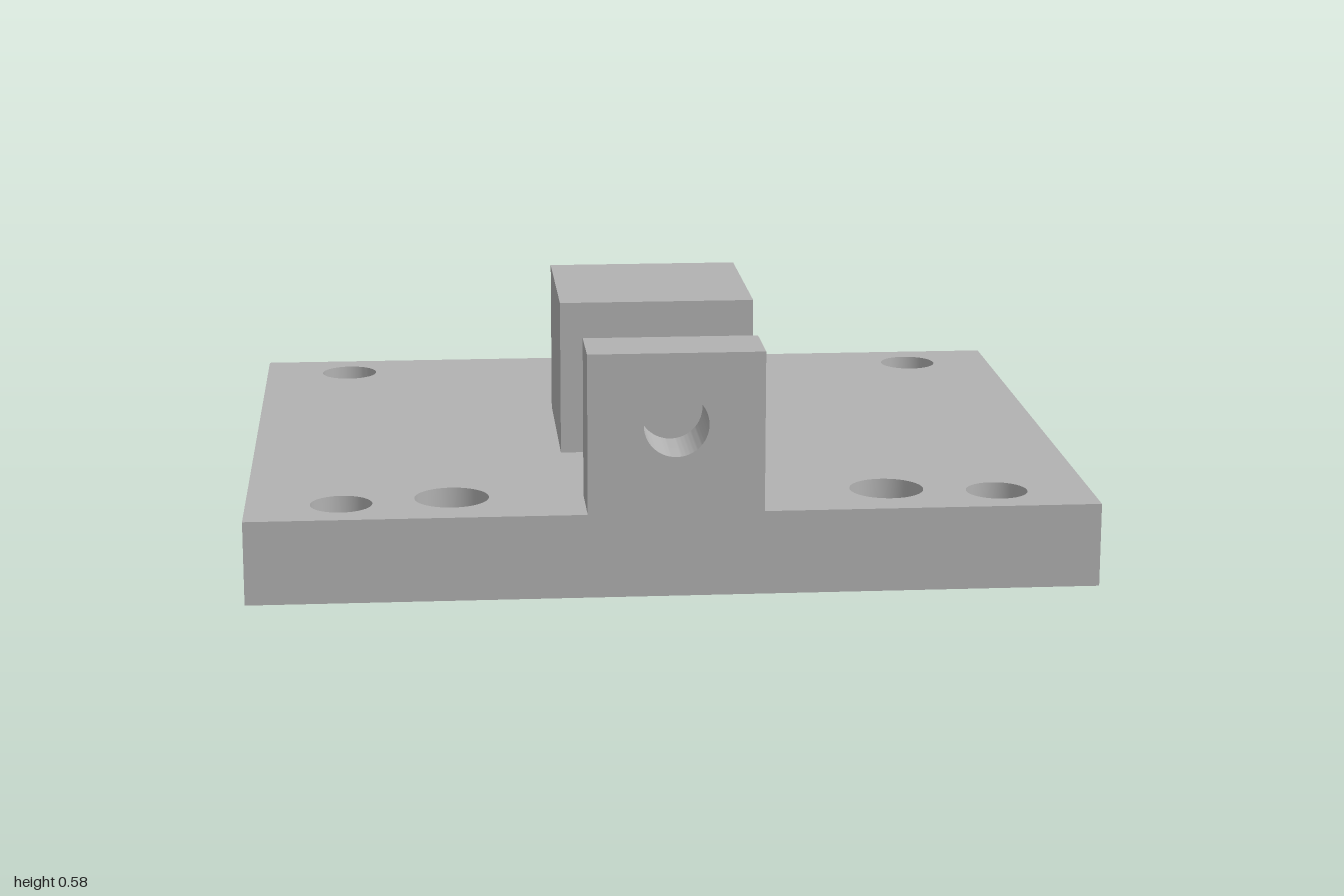
import * as THREE from 'three';
import { toCreasedNormals } from 'three/addons/utils/BufferGeometryUtils.js';

const HALF_X = 1, HALF_Z = 0.81, PLATE_H = 0.2;
const POCKET_H = 0.11, BLIND_FLOOR = 0.07, HOLE_Y = 0.41;

// outlines as [x, z] points; in this order their walls face inward
const rect = (x0, z0, x1, z1) => [[x0, z0], [x1, z0], [x1, z1], [x0, z1]];
const circle = (cx, cz, r, n = 48) => Array.from({ length: n }, (_, i) => {
  const a = (i / n) * Math.PI * 2;
  return [cx + r * Math.cos(a), cz + r * Math.sin(a)];
});

// vertical wall following a closed outline
function wall(points, y0, y1) {
  const pos = [];
  points.forEach(([ax, az], i) => {
    const [bx, bz] = points[(i + 1) % points.length];
    pos.push(ax, y0, az, bx, y0, bz, bx, y1, bz);
    pos.push(ax, y0, az, bx, y1, bz, ax, y1, az);
  });
  const geo = new THREE.BufferGeometry();
  geo.setAttribute('position', new THREE.Float32BufferAttribute(pos, 3));
  geo.computeVertexNormals();
  return toCreasedNormals(geo, 0.5);
}

// horizontal face with holes, facing up (1) or down (-1)
function face(points, holes, y, dir) {
  const to2D = (pts) => pts.map(([x, z]) => new THREE.Vector2(x, -dir * z));
  const shape = new THREE.Shape(to2D(points));
  holes.forEach((h) => shape.holes.push(new THREE.Path(to2D(h))));
  return new THREE.ShapeGeometry(shape).rotateX(-dir * Math.PI / 2).translate(0, y, 0);
}

// upright block with a round bore along z
function boredBlock(halfW, y0, y1, z0, z1, r) {
  const shape = new THREE.Shape([[-halfW, y0], [halfW, y0], [halfW, y1], [-halfW, y1]]
    .map(([x, y]) => new THREE.Vector2(x, y)));
  shape.holes.push(new THREE.Path().absarc(0, HOLE_Y, r, 0, Math.PI * 2, true));
  const geo = new THREE.ExtrudeGeometry(shape, { depth: z1 - z0, bevelEnabled: false, curveSegments: 48 });
  return toCreasedNormals(geo.translate(0, 0, z0), 0.5);
}

export function createModel() {
  const model = new THREE.Group();
  const grey = new THREE.MeshStandardMaterial({ color: 0xb2b2b2 });
  grey.name = 'plain grey';
  const add = (name, geo) => {
    const mesh = new THREE.Mesh(geo, grey);
    mesh.name = name;
    model.add(mesh);
  };

  const outline = rect(-HALF_X, -HALF_Z, HALF_X, HALF_Z);
  const screwHoles = [], blindHoles = [], pockets = [];
  for (const s of [-1, 1]) {
    for (const z of [-0.673, 0.673]) screwHoles.push(circle(s * 0.776, z, 0.073));
    blindHoles.push(circle(s * 0.517, 0.635, 0.088));
  }
  for (let i = 0; i < 4; i++) {
    const x = (i - 1.5) * 0.392;
    pockets.push(rect(x - 0.172, -0.262, x + 0.172, 0.256));
  }

  // base plate
  add('plateSides', wall([...outline].reverse(), 0, PLATE_H));
  add('plateTop', face(outline, [...screwHoles, ...blindHoles], PLATE_H, 1));
  add('plateUnderside', face(outline, [...screwHoles, ...pockets], 0, -1));

  // through holes, blind holes and underside pockets
  screwHoles.forEach((h) => add('screwHole', wall(h, 0, PLATE_H)));
  blindHoles.forEach((h) => {
    add('blindHoleWall', wall(h, BLIND_FLOOR, PLATE_H));
    add('blindHoleFloor', face(h, [], BLIND_FLOOR, 1));
  });
  pockets.forEach((p) => {
    add('pocketWalls', wall(p, 0, POCKET_H));
    add('pocketRoof', face(p, [], POCKET_H, -1));
  });

  // uprights
  add('centreBlock', boredBlock(0.239, PLATE_H, 0.58, -0.239, 0.239, 0.057));
  add('frontLug', boredBlock(0.206, PLATE_H, 0.58, 0.638, HALF_Z, 0.076));

  return model;
}
